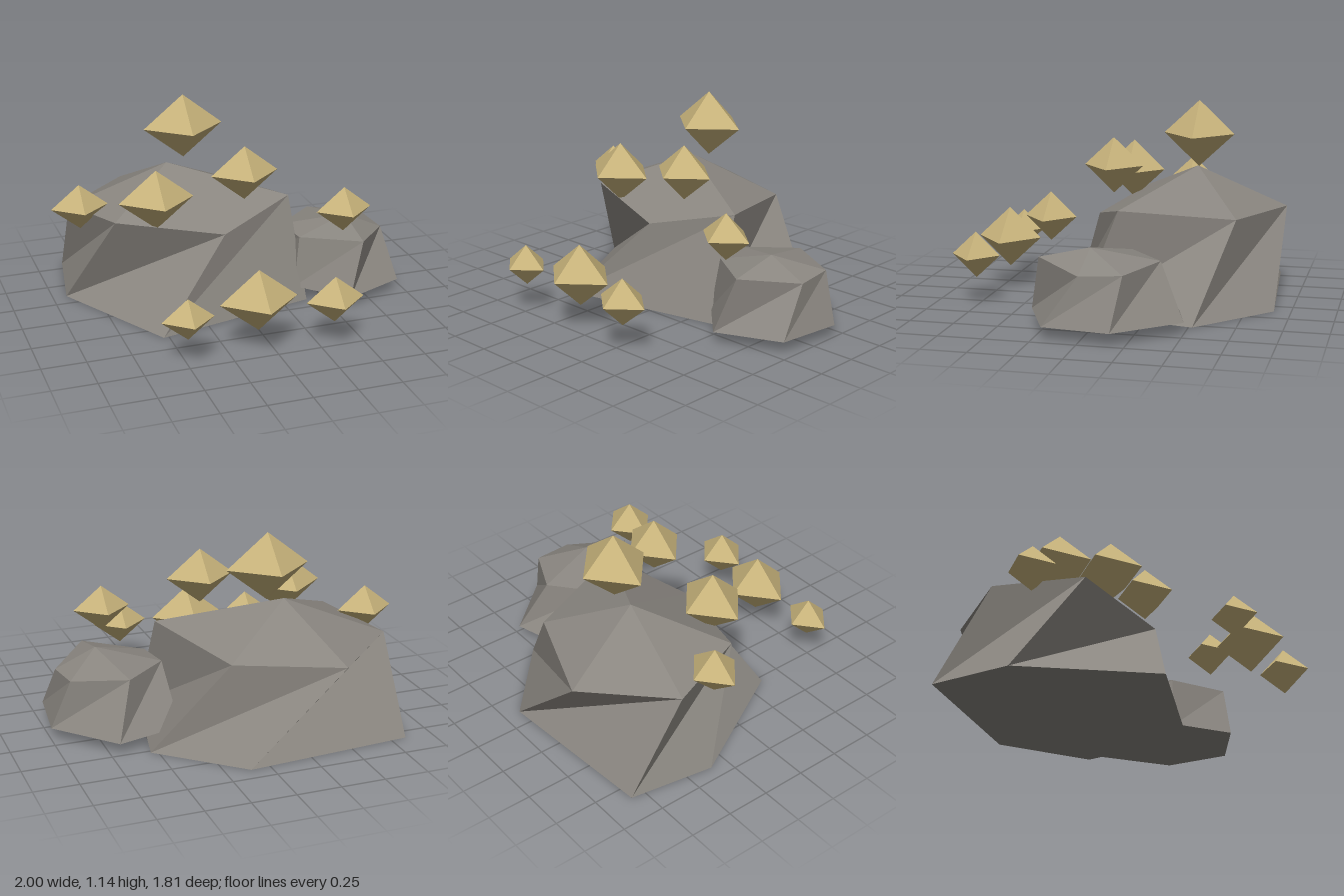
import * as THREE from 'three';

// Faceted boulder: a base ring, a shoulder ring and one peak, joined in loops
function boulder(base, baseY, shoulder, peak, material) {
  const n = base.length;
  const points = [...base.map(([x, z]) => [x, baseY, z]), ...shoulder, peak];
  const index = [];
  for (let i = 0; i < n; i++) {
    const j = (i + 1) % n;
    index.push(i, j, n + j, i, n + j, n + i); // side
    index.push(n + i, n + j, 2 * n);          // crown
    if (i > 0 && j > 0) index.push(0, j, i);  // underside
  }
  const indexed = new THREE.BufferGeometry();
  indexed.setAttribute('position', new THREE.Float32BufferAttribute(points.flat(), 3));
  indexed.setIndex(index);
  const geometry = indexed.toNonIndexed();
  geometry.computeVertexNormals();
  return new THREE.Mesh(geometry, material);
}

export function createModel() {
  const group = new THREE.Group();
  const stone = new THREE.MeshStandardMaterial({ color: 0x8a8680, flatShading: true });
  stone.name = 'stone';
  const gold = new THREE.MeshStandardMaterial({ color: 0xc6b27a, flatShading: true });
  gold.name = 'paleGold';

  // Large boulder on the ground
  const large = boulder(
    [[-0.53, 0.36], [0.4, 0.15], [0.54, -0.52], [0.11, -0.905], [-0.84, -0.83], [-0.92, -0.35]],
    0,
    [[-0.1, 0.475, 0.145], [0.36, 0.58, -0.07], [0.14, 0.515, -0.69],
      [-0.435, 0.5, -0.905], [-0.85, 0.51, -0.5], [-0.69, 0.555, -0.03]],
    [-0.28, 0.745, -0.4], stone);
  large.name = 'largeBoulder';

  // Small boulder leaning into its side
  const small = boulder(
    [[0.59, 0.355], [0.955, 0.2], [1.0, -0.175], [0.705, -0.505], [0.33, -0.4], [0.34, 0.1]],
    0.07,
    [[0.69, 0.38, 0.285], [0.92, 0.34, 0.01], [0.895, 0.35, -0.22],
      [0.6, 0.37, -0.36], [0.35, 0.37, -0.15], [0.38, 0.365, 0.07]],
    [0.69, 0.445, 0], stone);
  small.name = 'smallBoulder';
  group.add(large, small);

  // Floating crystals: x, y, z, half width
  const crystals = [
    [-0.168, 0.95, -0.425, 0.238],
    [-0.463, 0.684, 0.02, 0.217],
    [0.057, 0.785, 0.023, 0.198],
    [-0.835, 0.582, -0.275, 0.165],
    [0.577, 0.582, 0.245, 0.165],
    [-0.502, 0.278, 0.728, 0.146],
    [-0.094, 0.31, 0.69, 0.22],
    [0.316, 0.286, 0.763, 0.165],
  ];
  const octahedron = new THREE.OctahedronGeometry(1);
  crystals.forEach(([x, y, z, r], i) => {
    const crystal = new THREE.Mesh(octahedron, gold);
    crystal.name = `crystal${i + 1}`;
    crystal.position.set(x, y, z);
    crystal.scale.set(r, r * 0.8, r * 0.85);
    group.add(crystal);
  });
  return group;
}
